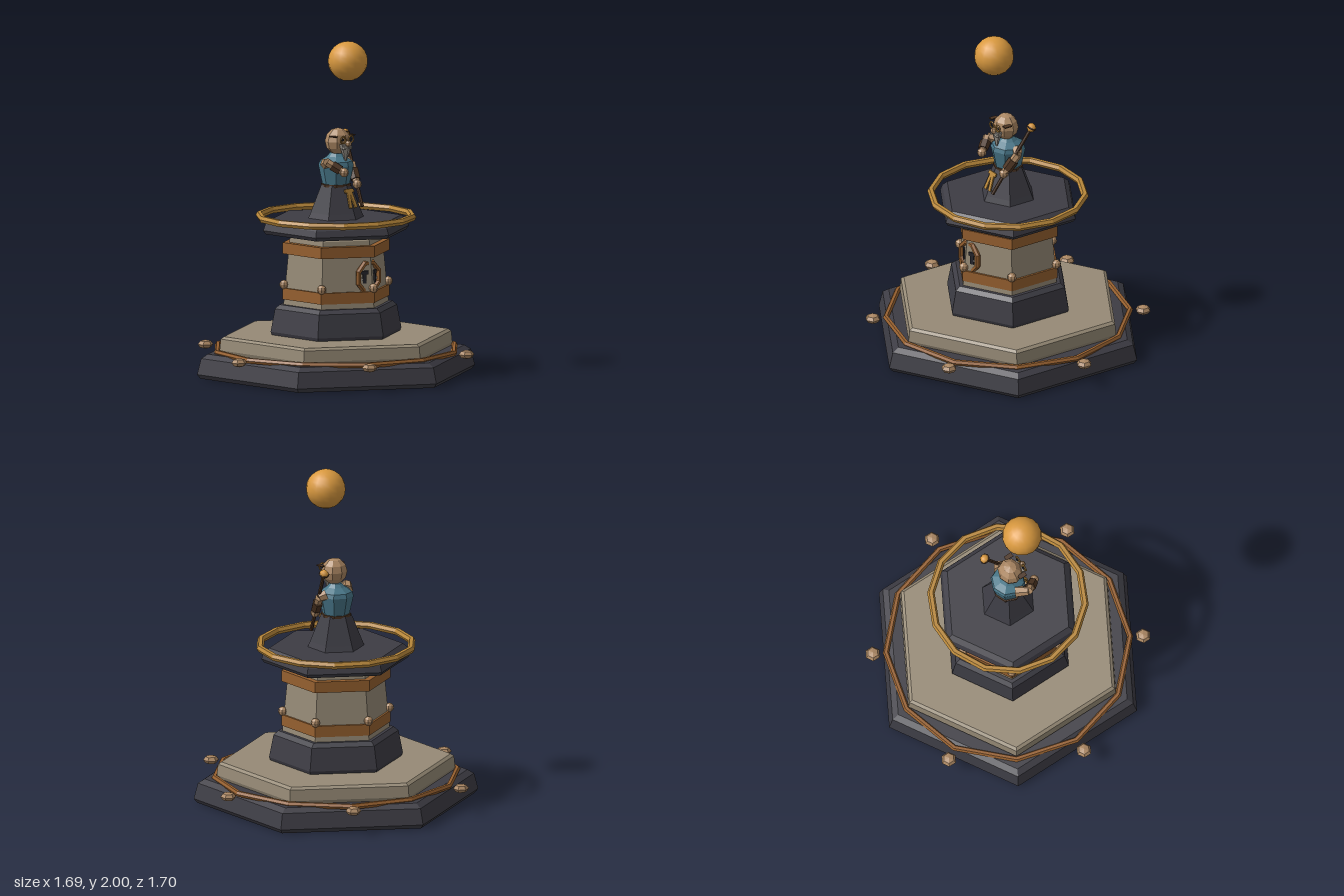
import * as THREE from 'three';

const mat = (name, color) => new THREE.MeshStandardMaterial({ name, color, flatShading: name !== 'orbGold' });
const M = {
  slate: mat('slate', 0x3d3c44), stone: mat('stone', 0x968a76), copper: mat('copper', 0x96602f),
  gold: mat('gold', 0xb8873a), tan: mat('tan', 0xab8763), blue: mat('blue', 0x487688),
  brown: mat('brown', 0x4c3422), orb: mat('orbGold', 0xd9993f), grey: mat('grey', 0x9b958c),
  black: mat('black', 0x26262c),
};

const V = (x, y, z) => new THREE.Vector3(x, y, z);

export function createModel() {
  const root = new THREE.Group();
  root.name = 'towerWithFigure';

  function add(parent, name, geo, material, x = 0, y = 0, z = 0) {
    const m = new THREE.Mesh(geo, material);
    m.name = name;
    m.position.set(x, y, z);
    parent.add(m);
    return m;
  }
  // Closed faceted solid from a [radius, height] profile; corners lie on +z and -z
  function turned(parent, name, profile, material, sides = 6) {
    const pts = [[0, profile[0][1]], ...profile, [0, profile[profile.length - 1][1]]];
    return add(parent, name, new THREE.LatheGeometry(pts.map(p => new THREE.Vector2(...p)), sides), material);
  }
  // Tapered rod between two points
  function rod(parent, name, a, b, ra, rb, material, sides = 6) {
    const d = b.clone().sub(a);
    const m = add(parent, name, new THREE.CylinderGeometry(rb, ra, d.length(), sides), material);
    m.position.copy(a).addScaledVector(d, 0.5);
    m.quaternion.setFromUnitVectors(V(0, 1, 0), d.normalize());
    return m;
  }
  function ball(parent, name, r, material, x, y, z, w = 8, h = 6) {
    return add(parent, name, new THREE.SphereGeometry(r, w, h), material, x, y, z);
  }
  function hoop(parent, name, r, tube, sides, material, y) {
    add(parent, name, new THREE.TorusGeometry(r, tube, 6, sides), material, 0, y, 0).rotation.x = Math.PI / 2;
  }

  // Stepped base
  const base = new THREE.Group();
  base.name = 'base';
  root.add(base);
  turned(base, 'plinth', [[0.83, 0], [0.85, 0.025], [0.825, 0.12], [0.785, 0.145]], M.slate);
  turned(base, 'step', [[0.7, 0.14], [0.712, 0.165], [0.705, 0.232], [0.685, 0.246]], M.stone);
  hoop(base, 'baseHoop', 0.725, 0.018, 12, M.copper, 0.15);

  // Tower
  const tower = new THREE.Group();
  tower.name = 'tower';
  root.add(tower);
  turned(tower, 'foundation', [[0.39, 0.24], [0.4, 0.265], [0.373, 0.402], [0.345, 0.426]], M.slate);
  turned(tower, 'walls', [[0.322, 0.42], [0.285, 0.8], [0.282, 0.825], [0.255, 0.853]], M.stone);
  turned(tower, 'lowerBand', [[0.326, 0.457], [0.326, 0.525]], M.copper);
  turned(tower, 'upperBand', [[0.326, 0.73], [0.326, 0.797]], M.copper);
  turned(tower, 'roof', [[0.43, 0.85], [0.446, 0.872], [0.432, 0.91], [0.4, 0.937]], M.slate);
  hoop(tower, 'roofHoop', 0.458, 0.022, 14, M.gold, 0.944);

  // Floating gems around the base and studs on the tower corners
  for (let i = 0; i < 6; i++) {
    const a = i * Math.PI / 3, b = a + Math.PI / 6;
    const gem = ball(root, 'gem', 0.047, M.tan, 0.803 * Math.cos(a), 0.146, 0.803 * Math.sin(a), 6, 4);
    gem.scale.y = 0.58;
    gem.rotation.y = Math.PI / 6;
    ball(tower, 'stud', 0.028, M.tan, 0.318 * Math.cos(b), 0.545, 0.318 * Math.sin(b));
  }

  // Round emblem wrapped over the front corner of the tower
  const emblem = new THREE.Group();
  emblem.name = 'emblem';
  emblem.position.set(0, 0.608, 0.275);
  tower.add(emblem);
  add(emblem, 'emblemRing', new THREE.TorusGeometry(0.09, 0.017, 6, 8), M.copper).rotation.z = Math.PI / 8;
  for (const s of [-1, 1]) {
    const half = new THREE.Group();
    half.name = 'emblemHalf';
    half.position.set(s * 0.042, 0, 0.011);
    half.rotation.y = s * Math.PI / 6;
    emblem.add(half);
    add(half, 'emblemBar', new THREE.BoxGeometry(0.022, 0.07, 0.009), M.black, 0, 0, 0);
    add(half, 'emblemCap', new THREE.BoxGeometry(0.045, 0.022, 0.009), M.black, 0, 0.03, 0);
    add(half, 'emblemDisc', new THREE.CylinderGeometry(0.011, 0.011, 0.009, 6), M.grey, s * 0.022, -0.01, 0).rotation.x = Math.PI / 2;
  }

  // Figure: robe, belt and torso
  const figure = new THREE.Group();
  figure.name = 'figure';
  root.add(figure);
  turned(figure, 'robe', [[0.172, 0.93], [0.155, 0.97], [0.09, 1.135]], M.slate);
  turned(figure, 'belt', [[0.09, 1.125], [0.09, 1.14]], M.brown, 8);
  turned(figure, 'torso', [[0.08, 1.135], [0.105, 1.25], [0.097, 1.275], [0.055, 1.303], [0.035, 1.325]], M.blue, 8);

  // Sash with two tails, lying on the front edge of the robe
  const sash = new THREE.Group();
  sash.name = 'sash';
  sash.position.set(0, 1.1, 0.112);
  sash.rotation.x = -0.37;
  figure.add(sash);
  add(sash, 'sashKnot', new THREE.BoxGeometry(0.072, 0.022, 0.009), M.gold, 0, 0.006, 0);
  for (const s of [-1, 1]) {
    add(sash, 'sashTail', new THREE.BoxGeometry(0.022, 0.105, 0.009), M.gold, s * 0.015, -0.047, 0).rotation.z = s * 0.13;
  }

  // Head
  const head = new THREE.Group();
  head.name = 'head';
  head.position.set(0, 1.395, 0.015);
  figure.add(head);
  ball(head, 'skull', 0.08, M.tan, 0, 0, 0).scale.z = 0.92;
  const beard = add(head, 'beard', new THREE.ConeGeometry(0.046, 0.12, 6), M.grey, 0, -0.072, 0.066);
  beard.rotation.x = Math.PI;
  beard.scale.z = 0.6;
  ball(head, 'nose', 0.02, M.tan, 0, -0.008, 0.088, 6, 5);
  for (const s of [-1, 1]) {
    add(head, 'spectacleRim', new THREE.TorusGeometry(0.021, 0.005, 5, 8), M.gold, s * 0.032, 0.015, 0.079);
    add(head, 'eye', new THREE.CylinderGeometry(0.009, 0.009, 0.008, 6), M.black, s * 0.032, 0.015, 0.073).rotation.x = Math.PI / 2;
    const moustache = ball(head, 'moustache', 0.02, M.grey, s * 0.02, -0.032, 0.08, 6, 4);
    moustache.scale.set(1.2, 0.6, 0.7);
    moustache.rotation.z = -s * 0.35;
    add(head, 'spectacleArm', new THREE.BoxGeometry(0.028, 0.006, 0.05), M.brown, s * 0.072, 0.035, 0.038);
  }

  // Arms: [shoulder, elbow, hand]
  const arms = {
    rightArm: [V(-0.085, 1.265, 0), V(-0.13, 1.283, 0.06), V(-0.07, 1.225, 0.14)],
    leftArm: [V(0.08, 1.265, -0.01), V(0.118, 1.25, 0.01), V(0.087, 1.135, 0.09)],
  };
  for (const [name, [shoulder, elbow, hand]] of Object.entries(arms)) {
    const arm = new THREE.Group();
    arm.name = name;
    figure.add(arm);
    const at = t => elbow.clone().lerp(hand, t);
    rod(arm, 'upperArm', shoulder, elbow, 0.034, 0.026, M.tan);
    rod(arm, 'forearm', elbow, hand, 0.026, 0.022, M.tan);
    rod(arm, 'cuff', at(0.3), at(0.78), 0.033, 0.031, M.brown);
    ball(arm, 'hand', 0.028, M.tan, hand.x, hand.y, hand.z);
  }

  // Staff with a caged ball
  const staff = new THREE.Group();
  staff.name = 'staff';
  figure.add(staff);
  const foot = V(0.066, 1.01, 0.155), tip = V(0.143, 1.418, -0.07);
  rod(staff, 'shaft', foot, tip, 0.011, 0.011, M.brown);
  ball(staff, 'staffBall', 0.028, M.orb, tip.x, tip.y, tip.z);
  const cage = add(staff, 'staffCollar', new THREE.TorusGeometry(0.027, 0.006, 5, 8), M.brown, tip.x, tip.y, tip.z);
  cage.quaternion.setFromUnitVectors(V(0, 0, 1), tip.clone().sub(foot).normalize());

  // Floating orb
  ball(root, 'orb', 0.118, M.orb, 0, 1.882, 0.1, 16, 12);

  return root;
}
